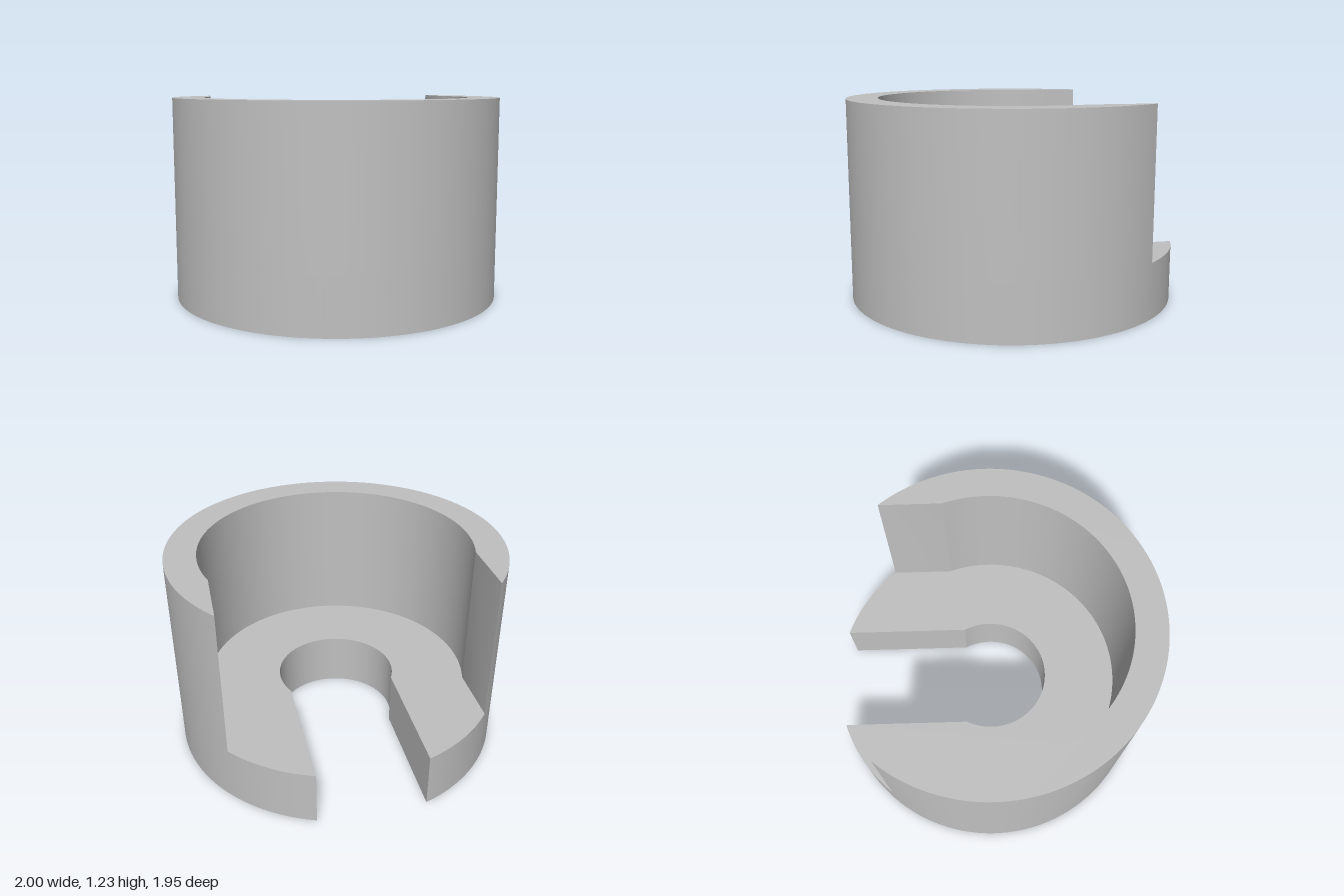
import * as THREE from 'three';
import { toCreasedNormals } from 'three/addons/utils/BufferGeometryUtils.js';

const CENTER_Z = -0.027;
const OUTER_R = 1;
const FLOOR_H = 0.335;
const TOTAL_H = 1.225;

// Ring sector of constant section, opened towards the back by a parallel-sided slot
function slottedRing(innerR, slotHalfWidth, height) {
  const a = Math.acos(slotHalfWidth / OUTER_R);
  const b = Math.acos(slotHalfWidth / innerR);
  const shape = new THREE.Shape();
  shape.absarc(0, 0, OUTER_R, a, Math.PI - a, true);
  shape.absarc(0, 0, innerR, Math.PI - b, b, false);
  shape.closePath();
  const geometry = new THREE.ExtrudeGeometry(shape, {
    depth: height, bevelEnabled: false, curveSegments: 80,
  });
  geometry.rotateX(-Math.PI / 2);
  return toCreasedNormals(geometry, Math.PI / 9);
}

export function createModel() {
  const group = new THREE.Group();
  group.name = 'slottedCup';
  const grey = new THREE.MeshStandardMaterial({ color: 0xc0c0c0 });
  grey.name = 'grey';

  // Floor with a keyhole slot
  const floor = new THREE.Mesh(slottedRing(0.362, 0.323, FLOOR_H), grey);
  floor.name = 'slottedFloor';

  // Upright wall with a wider opening
  const wall = new THREE.Mesh(slottedRing(0.811, 0.768, TOTAL_H - FLOOR_H), grey);
  wall.name = 'wall';
  wall.position.y = FLOOR_H;

  for (const part of [floor, wall]) {
    part.position.z = CENTER_Z;
    group.add(part);
  }
  return group;
}
